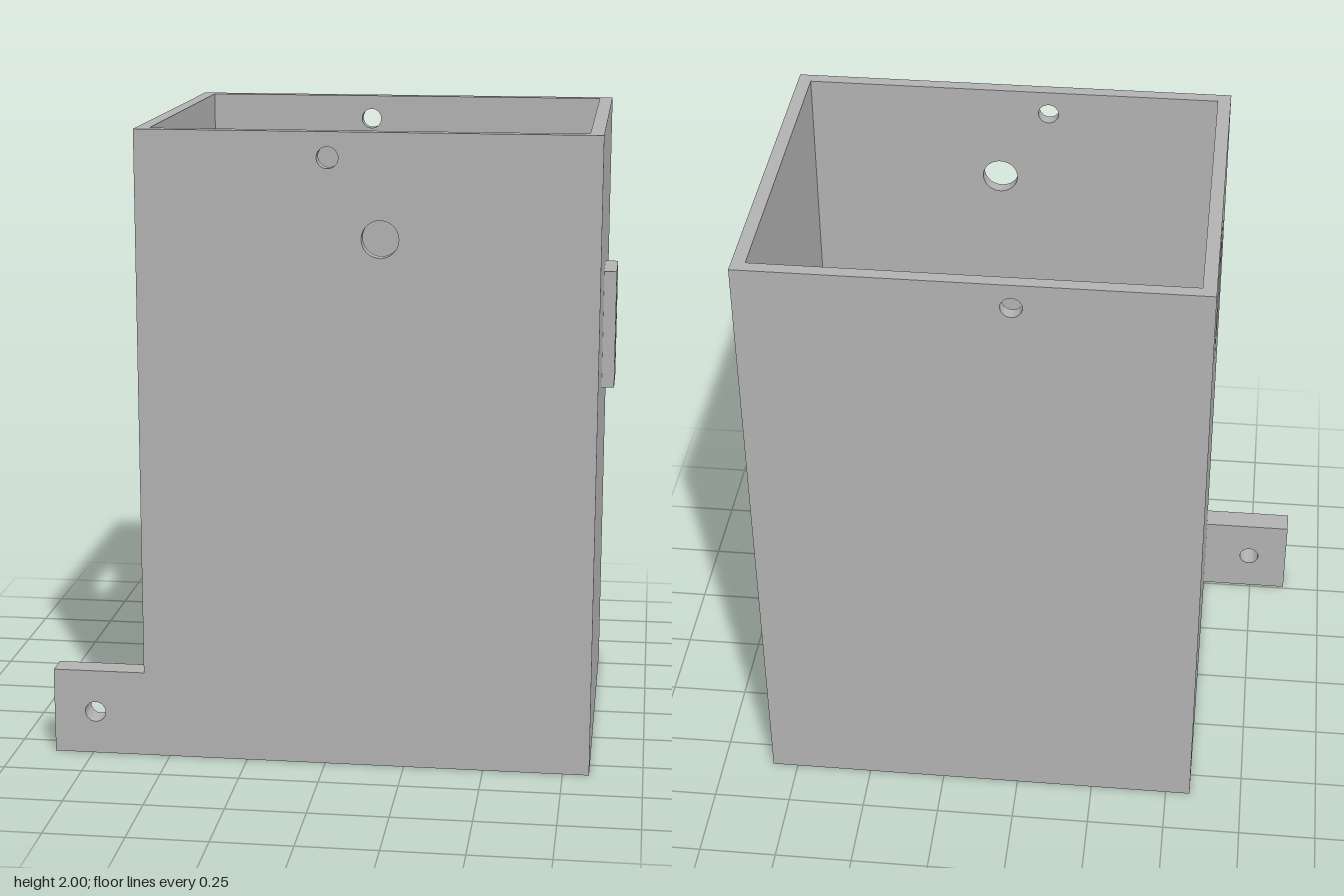
import * as THREE from 'three';
import { toCreasedNormals } from 'three/addons/utils/BufferGeometryUtils.js';

const X0 = -0.58, X1 = 0.833, Z = 0.588, H = 2, T = 0.042;

export function createModel() {
  const group = new THREE.Group();
  const grey = new THREE.MeshStandardMaterial({ color: 0xb2b2b2 });
  grey.name = 'plain grey';

  const add = (name, geometry) => {
    const mesh = new THREE.Mesh(geometry, grey);
    mesh.name = name;
    group.add(mesh);
  };

  // Outline helpers
  const rect = (x0, y0, x1, y1, Type = THREE.Shape) => {
    const s = new Type();
    s.moveTo(x0, y0);
    s.lineTo(x1, y0);
    s.lineTo(x1, y1);
    s.lineTo(x0, y1);
    s.closePath();
    return s;
  };
  const circle = (x, y, r) => new THREE.Path().absarc(x, y, r, 0, Math.PI * 2, true);
  const slot = (x, y0, y1, r) => {
    const p = new THREE.Path();
    p.absarc(x, y1 - r, r, 0, Math.PI, false);
    p.absarc(x, y0 + r, r, Math.PI, Math.PI * 2, false);
    p.closePath();
    return p;
  };
  const plate = (outline, holes, depth) => {
    outline.holes.push(...holes);
    const g = new THREE.ExtrudeGeometry(outline, { depth, bevelEnabled: false, curveSegments: 32 });
    return toCreasedNormals(g, 0.6);
  };

  // Front and back walls, each with a small hole near the rim
  const rimHole = () => circle(0.01, 1.922, 0.033);
  add('frontWall', plate(rect(X0, 0, X1, H), [rimHole(), circle(0.17, 1.678, 0.057)], T)
    .translate(0, 0, Z - T));
  add('backWall', plate(rect(X0, 0, X1, H), [rimHole()], T).translate(0, 0, -Z));

  // Side walls: one with a square window, one with a slot
  const zi = Z - T;
  add('rightWall', plate(rect(-zi, 0, zi, H), [rect(-0.18, 1.49, 0.18, 1.8, THREE.Path)], T)
    .rotateY(Math.PI / 2).translate(X0, 0, 0));
  const slotHole = () => slot(0, 1.183, 1.465, 0.035);
  add('leftWall', plate(rect(-zi, 0, zi, H), [slotHole()], T)
    .rotateY(Math.PI / 2).translate(X1 - T, 0, 0));

  // Raised slotted plate on the left wall
  add('slotPlate', plate(rect(-0.108, 1.138, 0.108, 1.515), [slotHole()], 0.04)
    .rotateY(Math.PI / 2).translate(X1, 0, 0));

  // Floor, open beneath the collar
  add('floor', plate(rect(X0 + T, -zi, X1 - T, zi), [circle(0.01, 0, 0.392)], T)
    .rotateX(-Math.PI / 2));

  // Collar with a tapered opening and a stepped seat
  const profile = [
    [0.26, 0], [0.393, 0], [0.393, 0.12], [0.348, 0.12],
    [0.348, 0.06], [0.325, 0.06], [0.26, 0],
  ].map(([r, y]) => new THREE.Vector2(r, y));
  add('floorCollar', toCreasedNormals(new THREE.LatheGeometry(profile, 64), 0.6)
    .translate(0.01, 0, 0));

  // Mounting tab at the foot
  add('mountingTab', plate(rect(-0.873, 0, X0, 0.275), [circle(-0.74, 0.138, 0.033)], 0.08)
    .translate(0, 0, Z - 0.08));

  return group;
}
